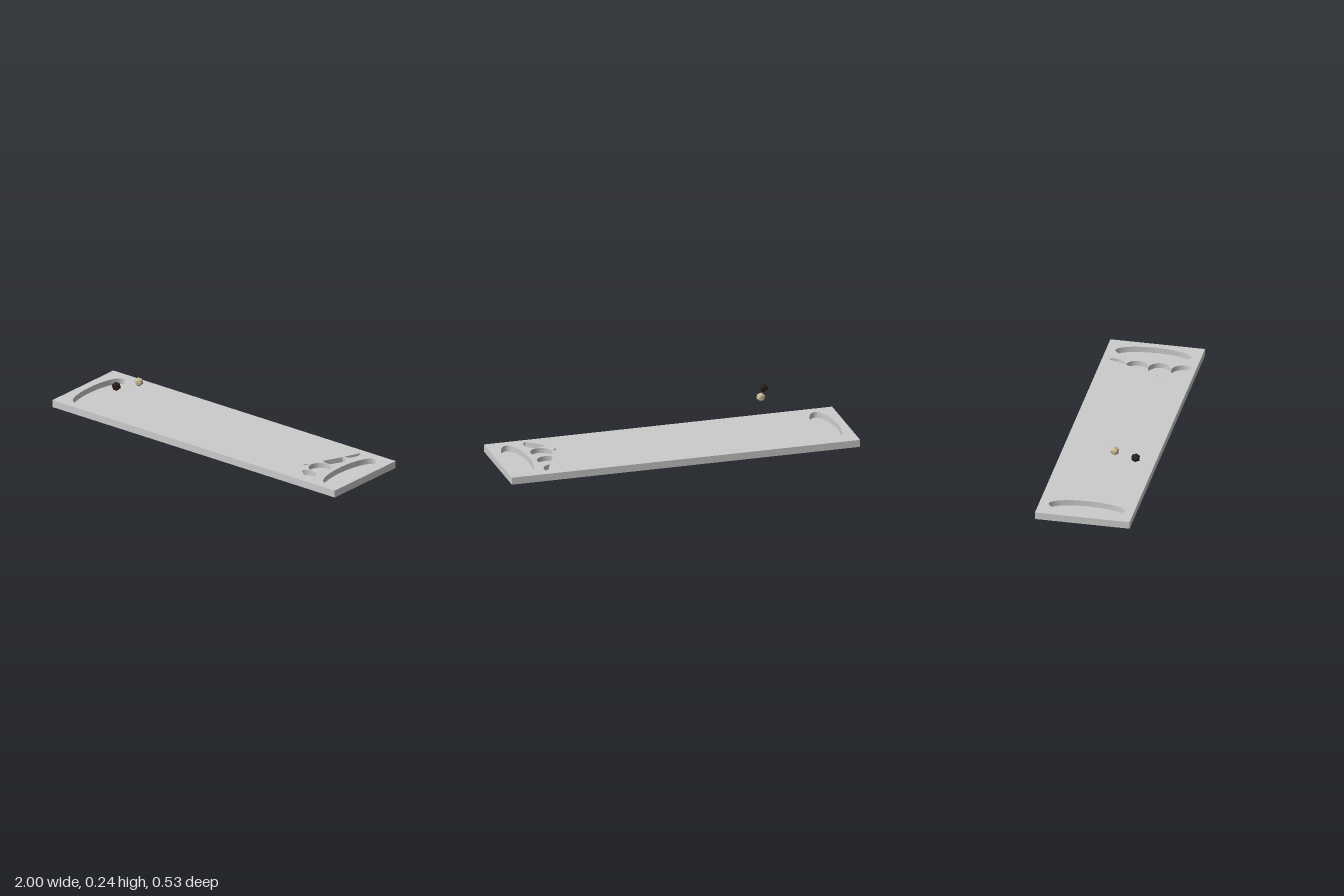
import * as THREE from 'three';

const TOP = 0.041, HALF_DEPTH = 0.266;

// Outlines are drawn in (x, z); this lays an extrusion flat with its upper face at yTop.
function slab(shape, yTop, height) {
  const g = new THREE.ExtrudeGeometry(shape, { depth: height, bevelEnabled: false, curveSegments: 48 });
  return g.rotateX(Math.PI / 2).translate(0, yTop, 0);
}

function ellipse(x, z, rx, rz, from = 0, to = 360) {
  const rad = THREE.MathUtils.degToRad;
  const points = new THREE.EllipseCurve(x, z, rx, rz, rad(from), rad(to)).getPoints(48);
  if (to - from === 360) points.pop();
  return points;
}

export function createModel() {
  const model = new THREE.Group();
  const grey = new THREE.MeshStandardMaterial({ color: 0xcccccc });
  const add = (name, geometry, material) => {
    const mesh = new THREE.Mesh(geometry, material);
    mesh.name = name;
    model.add(mesh);
    return mesh;
  };

  // Pockets sunk into the board: two long trays, a row of cut-off circles and a sliver
  const r = 0.0615, cx = 0.731;
  const pockets = [
    { name: 'leftTray', floor: 0.008, points: ellipse(0.888, 0, 0.069, 0.213) },
    { name: 'rightTray', floor: 0.008, points: ellipse(-0.884, 0, 0.069, 0.213) },
    { name: 'backCutPocket', floor: 0.012, points: ellipse(cx, -0.191, r, r, -38, 80) },
    { name: 'halfPocket', floor: 0.012, points: ellipse(cx, -0.063, r, r, -83, 133) },
    { name: 'roundPocket', floor: 0.012, points: ellipse(cx, 0.065, r, r) },
    { name: 'frontCutPocket', floor: 0.012, points: ellipse(cx, 0.194, r, r, -146, 47) },
    {
      name: 'sliverPocket', floor: 0.012,
      points: [[0.635, 0.108], [0.645, 0.077], [0.664, 0.06], [0.652, 0.085]].map(p => new THREE.Vector2(...p)),
    },
  ];

  // Board with the pockets cut out
  const outline = new THREE.Shape([[-1, -1], [1, -1], [1, 1], [-1, 1]]
    .map(([x, z]) => new THREE.Vector2(x, z * HALF_DEPTH)));
  outline.holes = pockets.map(p => new THREE.Path(p.points));
  add('board', slab(outline, TOP, TOP), grey);

  // Pocket floors, flush with the underside
  for (const p of pockets) add(p.name + 'Floor', slab(new THREE.Shape(p.points), p.floor, p.floor), grey);

  // Twenty-sided dice above the board, one face square to +x with a corner upwards
  const t = (1 + Math.sqrt(5)) / 2;
  const side = new THREE.Vector3(1, 1, 1).normalize();
  const up = new THREE.Vector3(1, t, 0).projectOnPlane(side).normalize();
  const turn = new THREE.Matrix4().makeBasis(side, up, side.clone().cross(up)).transpose();
  const die = new THREE.IcosahedronGeometry(0.0265, 0).applyMatrix4(turn);
  const dieMaterial = color => new THREE.MeshStandardMaterial({ color, flatShading: true });
  add('darkDie', die, dieMaterial(0x2a1f1a)).position.set(-0.59, 0.217, 0.213);
  add('lightDie', die, dieMaterial(0xc8b898)).position.set(-0.535, 0.216, 0.084);

  return model;
}
